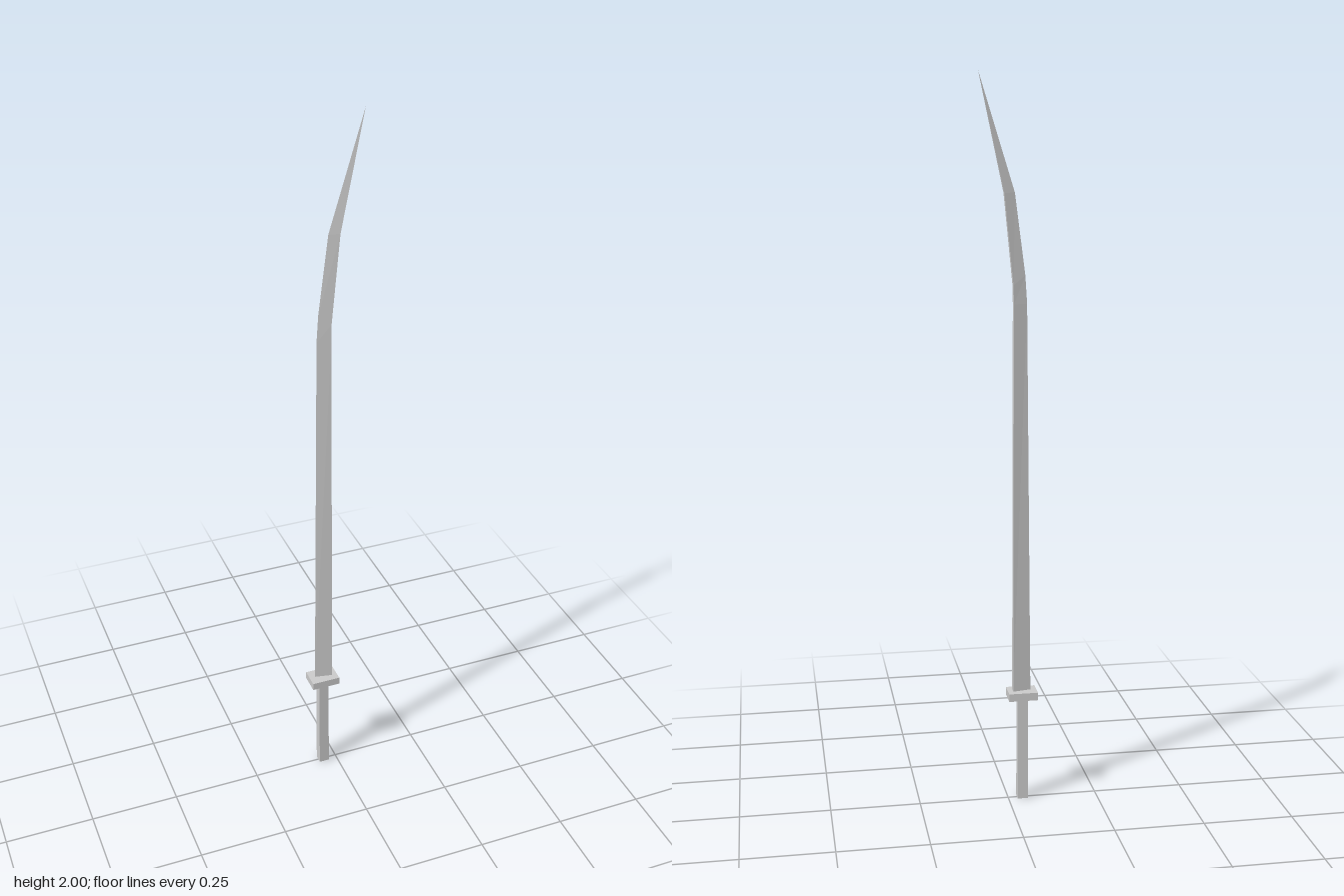
import * as THREE from 'three';

const material = new THREE.MeshStandardMaterial({ color: 0xcccccc, flatShading: true });

function addMesh(group, name, geometry, x = 0, y = 0) {
  const mesh = new THREE.Mesh(geometry, material);
  mesh.name = name;
  mesh.position.set(x, y, 0);
  group.add(mesh);
}

// Wedge blade: sharp edge on the -x side, flat spine on the +x side.
function bladeGeometry() {
  // [edge x, edge y, spine x, spine y, half thickness of spine]
  const sections = [
    [-0.063, 0.32, -0.013, 0.32, 0.01],
    [-0.051, 1.4, -0.014, 1.4, 0.009],
    [-0.046, 1.475, -0.013, 1.45, 0.009],
    [-0.018, 1.69, 0.011, 1.69, 0.008],
    [0.078, 2, 0.078, 2, 0],
  ];
  const rings = sections.map(([ex, ey, sx, sy, t]) => [[ex, ey, 0], [sx, sy, t], [sx, sy, -t]]);
  const positions = [];
  for (let i = 0; i < rings.length - 1; i++) {
    const low = rings[i], high = rings[i + 1];
    const atTip = i === rings.length - 2;
    for (let j = 0; j < 3; j++) {
      const k = (j + 1) % 3;
      positions.push(...low[j], ...low[k], ...high[k]);
      if (!atTip) positions.push(...low[j], ...high[k], ...high[j]);
    }
  }
  // Base cap
  positions.push(...rings[0][0], ...rings[0][2], ...rings[0][1]);
  const geometry = new THREE.BufferGeometry();
  geometry.setAttribute('position', new THREE.Float32BufferAttribute(positions, 3));
  geometry.computeVertexNormals();
  return geometry;
}

export function createModel() {
  const sword = new THREE.Group();
  sword.name = 'sword';
  addMesh(sword, 'handle', new THREE.BoxGeometry(0.029, 0.3, 0.026), -0.04, 0.15);
  addMesh(sword, 'guard', new THREE.BoxGeometry(0.081, 0.022, 0.059), -0.039, 0.309);
  addMesh(sword, 'blade', bladeGeometry());
  return sword;
}
